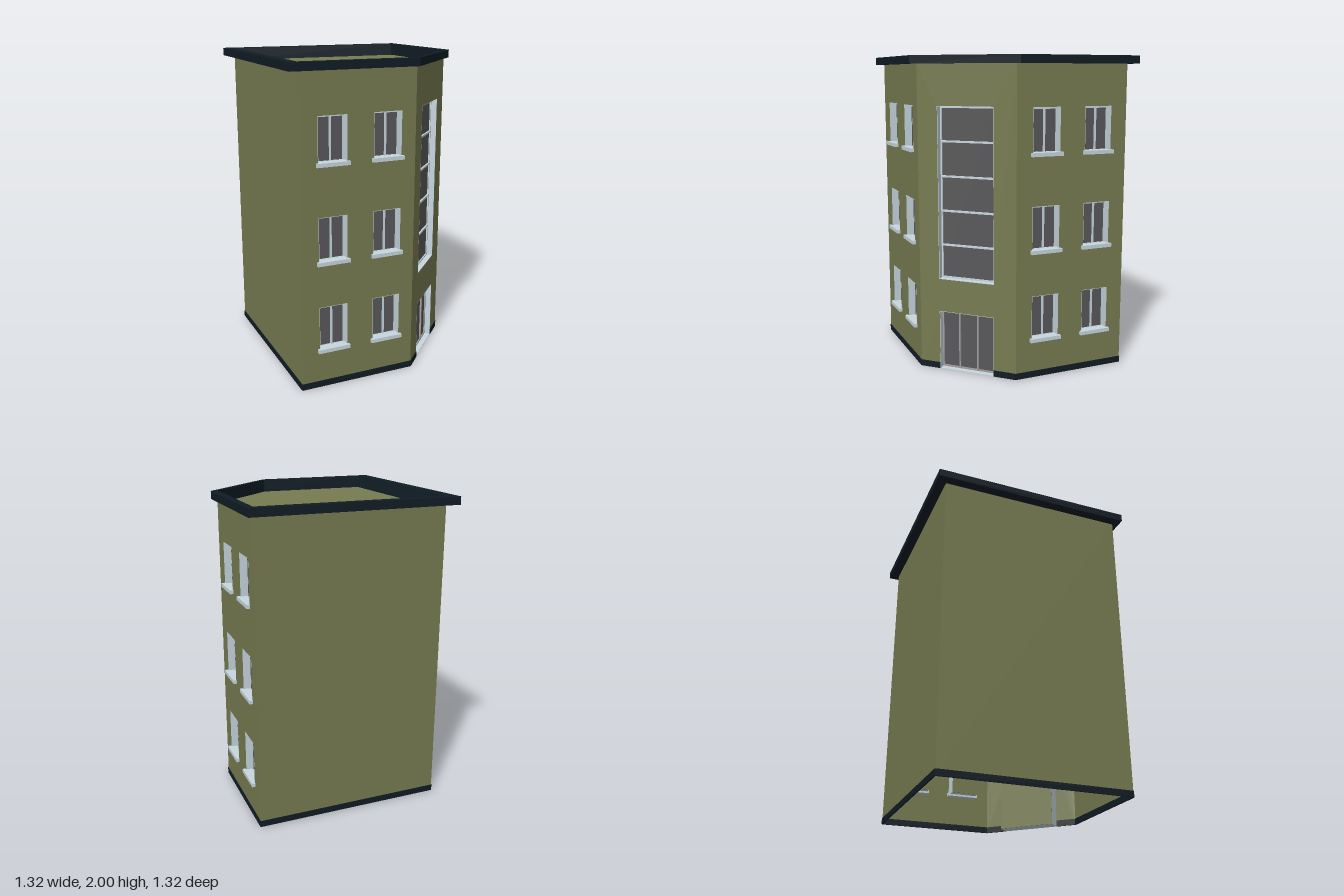
import * as THREE from 'three';

const mat = (color, side = THREE.FrontSide) => new THREE.MeshStandardMaterial({ color, side });
const olive = mat(0x767b50, THREE.DoubleSide);
const dark = mat(0x101c24, THREE.DoubleSide);
const trim = mat(0xc6d6de);
const glass = mat(0x58585a);
const doorTrim = mat(0xa39c9c);

const MIN = -0.6, MAX = 0.62, CUT = 0.155;
const RECESS = 0.045, CASING = 0.09;

function add(parent, name, geometry, material, x = 0, y = 0, z = 0) {
  const mesh = new THREE.Mesh(geometry, material);
  mesh.name = name;
  mesh.position.set(x, y, z);
  parent.add(mesh);
  return mesh;
}

const box = (parent, name, material, w, h, d, x, y, z) =>
  add(parent, name, new THREE.BoxGeometry(w, h, d), material, x, y, z);

const rectPoints = (w, h) => [[-w / 2, -h / 2], [w / 2, -h / 2], [w / 2, h / 2], [-w / 2, h / 2]]
  .map(([x, y]) => new THREE.Vector2(x, y));

// Rectangular ring, its front at z = 0 and its back at z = -depth
function ring(w, h, t, depth) {
  const shape = new THREE.Shape(rectPoints(w, h));
  shape.holes.push(new THREE.Path(rectPoints(w - 2 * t, h - 2 * t)));
  return new THREE.ExtrudeGeometry(shape, { depth, bevelEnabled: false }).translate(0, 0, -depth);
}

// Recessed opening: casing, glass, frame, bars and optional sill
function opening(wall, o) {
  const g = new THREE.Group();
  g.name = o.name;
  g.position.set(o.x, o.y + o.h / 2, 0);
  wall.add(g);
  const { w, h, bars = [], posts = [], frame = trim } = o;
  add(g, 'reveal', ring(w, h, 0.003, CASING), trim);
  add(g, 'frame', ring(w - 0.006, h - 0.006, 0.01, 0.02), frame, 0, 0, -RECESS + 0.008);
  box(g, 'glass', glass, w - 0.006, h - 0.006, 0.01, 0, 0, -RECESS - 0.005);
  box(g, 'casingBack', olive, w, h, 0.004, 0, 0, -CASING);
  for (const f of posts) box(g, 'post', frame, 0.01, h - 0.01, 0.016, w * (f - 0.5), 0, -RECESS + 0.004);
  for (const f of bars) box(g, 'bar', frame, w - 0.01, 0.012, 0.016, 0, h * (f - 0.5), -RECESS + 0.004);
  if (o.sill) box(g, 'sill', trim, 0.21, 0.024, 0.065, 0, -h / 2, -0.011);
}

// Wall from a to b (x, z), left to right as seen from outside
function wall(parent, name, a, b, openings = []) {
  const g = new THREE.Group();
  g.name = name;
  g.position.set((a[0] + b[0]) / 2, 0, (a[1] + b[1]) / 2);
  g.rotation.y = Math.atan2(-(b[1] - a[1]), b[0] - a[0]);
  parent.add(g);
  const half = Math.hypot(b[0] - a[0], b[1] - a[1]) / 2;
  const door = openings.find(o => o.y === 0);
  const shape = new THREE.Shape();
  shape.moveTo(-half, 0);
  let spans = [[-half, half]];
  if (door) {
    const l = door.x - door.w / 2, r = door.x + door.w / 2;
    shape.lineTo(l, 0);
    shape.lineTo(l, door.h);
    shape.lineTo(r, door.h);
    shape.lineTo(r, 0);
    spans = [[-half, l], [r, half]];
  }
  shape.lineTo(half, 0);
  shape.lineTo(half, 1.955);
  shape.lineTo(-half, 1.955);
  for (const o of openings) {
    if (o !== door) {
      const pts = rectPoints(o.w, o.h).map(p => p.add(new THREE.Vector2(o.x, o.y + o.h / 2)));
      shape.holes.push(new THREE.Path(pts));
    }
    opening(g, o);
  }
  add(g, 'wallFace', new THREE.ShapeGeometry(shape), olive);
  for (const [l, r] of spans) box(g, 'plinth', dark, r - l, 0.04, 0.008, (l + r) / 2, 0.02, 0);
}

// Footprint: a square with its front left corner cut off
const footprint = (min, max, cut) => [[min, min], [min, max], [cut, max], [max, cut], [max, min]];

// Skin between successive [footprint, height] loops
function skin(loops) {
  const pos = [];
  for (let k = 0; k < loops.length - 1; k++) {
    const [lo, y0] = loops[k], [hi, y1] = loops[k + 1];
    for (let i = 0; i < lo.length; i++) {
      const j = (i + 1) % lo.length;
      const a = [lo[i][0], y0, lo[i][1]], b = [lo[j][0], y0, lo[j][1]];
      const c = [hi[j][0], y1, hi[j][1]], d = [hi[i][0], y1, hi[i][1]];
      pos.push(...a, ...b, ...c, ...a, ...c, ...d);
    }
  }
  const geo = new THREE.BufferGeometry();
  geo.setAttribute('position', new THREE.Float32BufferAttribute(pos, 3));
  geo.computeVertexNormals();
  return geo;
}

export function createModel() {
  const model = new THREE.Group();
  model.name = 'cornerBuilding';

  // Three floors of paired windows
  const windows = xs => [0.245, 0.81, 1.41].flatMap(y =>
    xs.map(x => ({ name: 'window', x, y, w: 0.185, h: 0.283, posts: [0.5], sill: true })));
  const mid = (MIN + CUT) / 2;

  const corners = footprint(MIN, MAX, CUT);
  wall(model, 'rightSideWall', corners[0], corners[1]);
  wall(model, 'frontWall', corners[1], corners[2], windows([-0.39 - mid, -0.032 - mid]));
  wall(model, 'cornerWall', corners[2], corners[3], [
    { name: 'stairWindow', x: -0.006, y: 0.6, w: 0.375, h: 1.095, bars: [0.2, 0.4, 0.6, 0.8] },
    { name: 'entranceDoor', x: -0.006, y: 0, w: 0.375, h: 0.388, posts: [1 / 3, 2 / 3], frame: doorTrim },
  ]);
  wall(model, 'leftSideWall', corners[3], corners[4], windows([mid + 0.045, mid + 0.4]));
  wall(model, 'backWall', corners[4], corners[0]);

  // Overhanging cornice with a parapet sloping in to the roof
  const roofLine = footprint(-0.575, 0.61, 0.158);
  add(model, 'cornice', skin([
    [corners, 1.95],
    [footprint(-0.662, 0.662, 0.15), 1.95],
    [footprint(-0.662, 0.662, 0.15), 2],
    [footprint(-0.6, 0.617, 0.158), 2],
    [roofLine, 1.92],
  ]), dark);
  const roof = new THREE.Shape(roofLine.map(([x, z]) => new THREE.Vector2(x, -z)));
  add(model, 'roof', new THREE.ShapeGeometry(roof).rotateX(-Math.PI / 2), olive, 0, 1.92, 0);

  return model;
}
